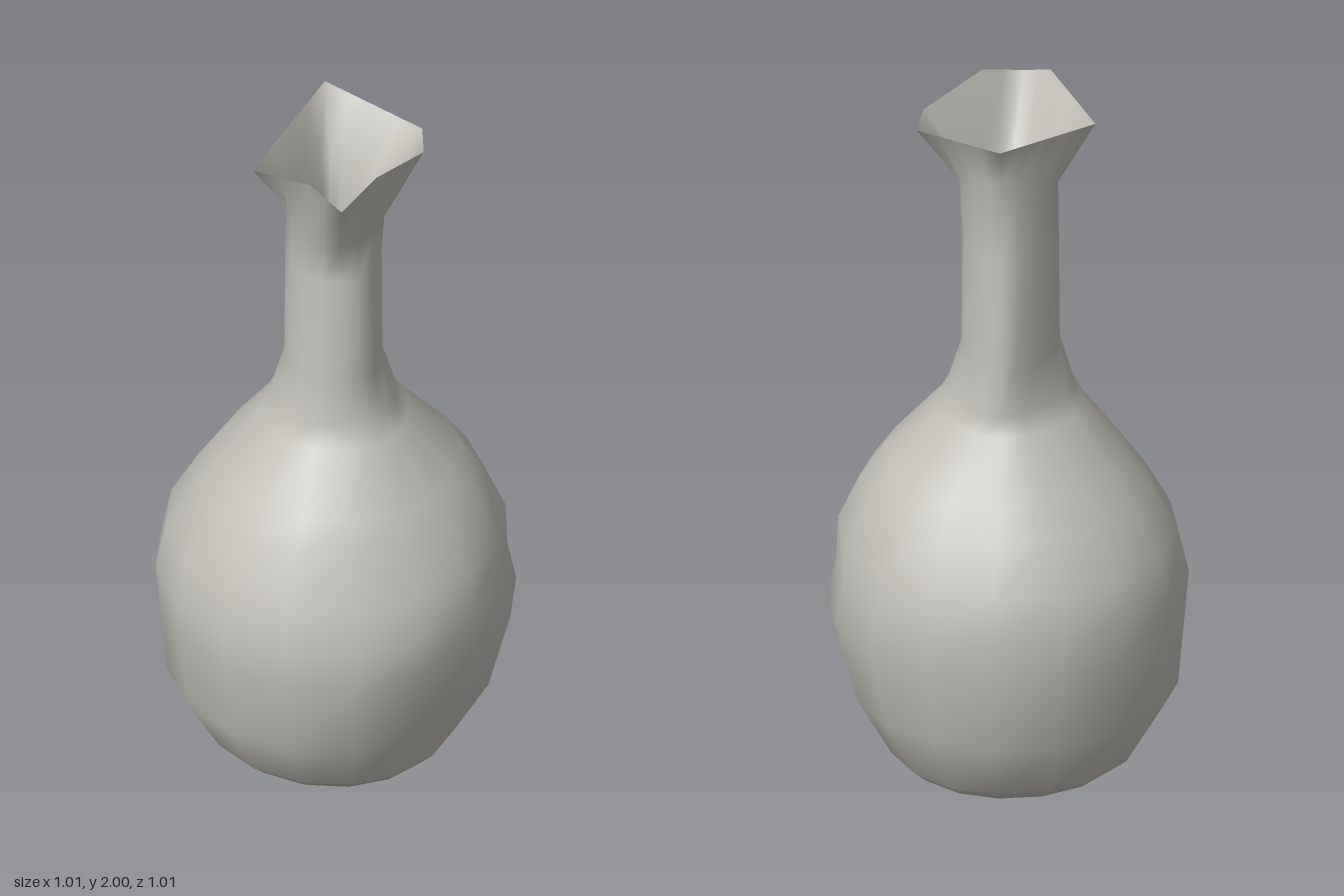
import * as THREE from 'three';

const SEGMENTS = 16;

// One cross-section: reach to each side, and squareness of its front and back halves (2 round, 1 diamond)
function ringPoints([y, left, right, front, back, pFront = 2, pBack = pFront], adjust) {
  const points = [];
  for (let j = 0; j < SEGMENTS; j++) {
    const a = (j / SEGMENTS) * Math.PI * 2;
    const s = Math.sin(a), c = Math.cos(a);
    const e = 2 / (c > 0 ? pFront : pBack);
    const x = Math.sign(s) * Math.pow(Math.abs(s), e) * (s > 0 ? right : left);
    const z = Math.sign(c) * Math.pow(Math.abs(c), e) * (c > 0 ? front : back);
    const v = new THREE.Vector3(x, y, z);
    if (adjust) adjust(v, j);
    points.push(v);
  }
  return points;
}

// Wavy diamond lip: straight edges between corners, each given as [segment, x, y, z]
function lipPoints() {
  const corners = [
    [0, -0.02, 1.955, 0.315], [2, 0.09, 2, 0.22], [3, 0.24, 1.955, 0.05],
    [4, 0.25, 1.95, -0.07], [8, 0, 1.99, -0.272], [12, -0.24, 1.93, 0.05],
    [14, -0.1, 2, 0.235], [16, -0.02, 1.955, 0.315],
  ];
  const points = [];
  for (let i = 0; i < corners.length - 1; i++) {
    const [start, ...from] = corners[i];
    const [end, ...to] = corners[i + 1];
    for (let j = start; j < end; j++) {
      const t = (j - start) / (end - start);
      points.push(new THREE.Vector3(...from).lerp(new THREE.Vector3(...to), t));
    }
  }
  return points;
}

// Smooth skin through a list of rings
function loft(rings) {
  const index = [];
  for (let i = 0; i < rings.length - 1; i++) {
    for (let j = 0; j < SEGMENTS; j++) {
      const k = (j + 1) % SEGMENTS;
      const a = i * SEGMENTS + j, b = i * SEGMENTS + k;
      const c = b + SEGMENTS, d = a + SEGMENTS;
      index.push(a, b, c, a, c, d);
    }
  }
  const geometry = new THREE.BufferGeometry().setFromPoints(rings.flat());
  geometry.setIndex(index);
  geometry.computeVertexNormals();
  return geometry;
}

// The flare starts lower at the front than at the back
function tilt(v) {
  v.y -= 0.45 * v.z;
}

// Pressed-in patch low on the front
function dent(v, j) {
  if (j === 1 || j === 2) {
    const depth = v.y < 0.3 ? 0.91 : 0.98;
    v.x *= depth;
    v.z *= depth;
  }
}

function adjustFor(y) {
  if (y > 1.7) return tilt;
  return y > 0.1 && y < 0.5 ? dent : null;
}

export function createModel() {
  const stone = new THREE.MeshStandardMaterial({ color: 0xc0beb7 });
  stone.name = 'warmGrey';
  const group = new THREE.Group();
  group.name = 'vase';

  // Rows: y, left (-x), right (+x), front (+z), back (-z), front and back squareness
  const lip = lipPoints();
  const body = [
    [0, 0, 0, 0, 0],
    [0, 0.32, 0.3, 0.32, 0.32],
    [0.04, 0.37, 0.34, 0.36, 0.37],
    [0.22, 0.475, 0.44, 0.475, 0.475],
    [0.45, 0.495, 0.505, 0.495, 0.495],
    [0.57, 0.505, 0.48, 0.505, 0.505],
    [0.7, 0.475, 0.475, 0.455, 0.475],
    [0.83, 0.4, 0.415, 0.4, 0.4],
    [0.92, 0.335, 0.35, 0.35, 0.345],
    [1.08, 0.215, 0.205, 0.23, 0.23, 2.1, 1.8],
    [1.14, 0.185, 0.17, 0.19, 0.225, 2.2, 1.6],
    [1.27, 0.145, 0.13, 0.18, 0.217, 2.1, 1.5],
    [1.6, 0.142, 0.128, 0.15, 0.188, 2, 1.6],
    [1.77, 0.14, 0.14, 0.14, 0.165, 1.9, 1.6],
  ].map((row) => ringPoints(row, adjustFor(row[0])));
  const outer = new THREE.Mesh(loft([...body, lip]), stone);
  outer.name = 'outerBody';
  group.add(outer);

  // Funnel, narrow throat and thin-walled hollow belly
  const hollow = [
    [1.77, 0.11, 0.115, 0.1, 0.14, 1.8, 1.4],
    [1.6, 0.095, 0.105, 0.07, 0.135, 1.8, 1.3],
    [1.27, 0.115, 0.105, 0.14, 0.18, 2, 1.5],
    [1.1, 0.175, 0.165, 0.185, 0.195, 2, 1.6],
    [0.92, 0.305, 0.315, 0.315, 0.31],
    [0.83, 0.37, 0.385, 0.37, 0.37],
    [0.7, 0.445, 0.445, 0.425, 0.445],
    [0.57, 0.475, 0.45, 0.475, 0.475],
    [0.45, 0.465, 0.47, 0.465, 0.465],
    [0.22, 0.445, 0.41, 0.445, 0.445],
    [0.06, 0.35, 0.32, 0.34, 0.35],
    [0.03, 0.3, 0.28, 0.3, 0.3],
    [0.03, 0, 0, 0, 0],
  ].map((row) => ringPoints(row, adjustFor(row[0])));
  const inner = new THREE.Mesh(loft([lip, ...hollow]), stone);
  inner.name = 'innerHollow';
  group.add(inner);

  return group;
}
